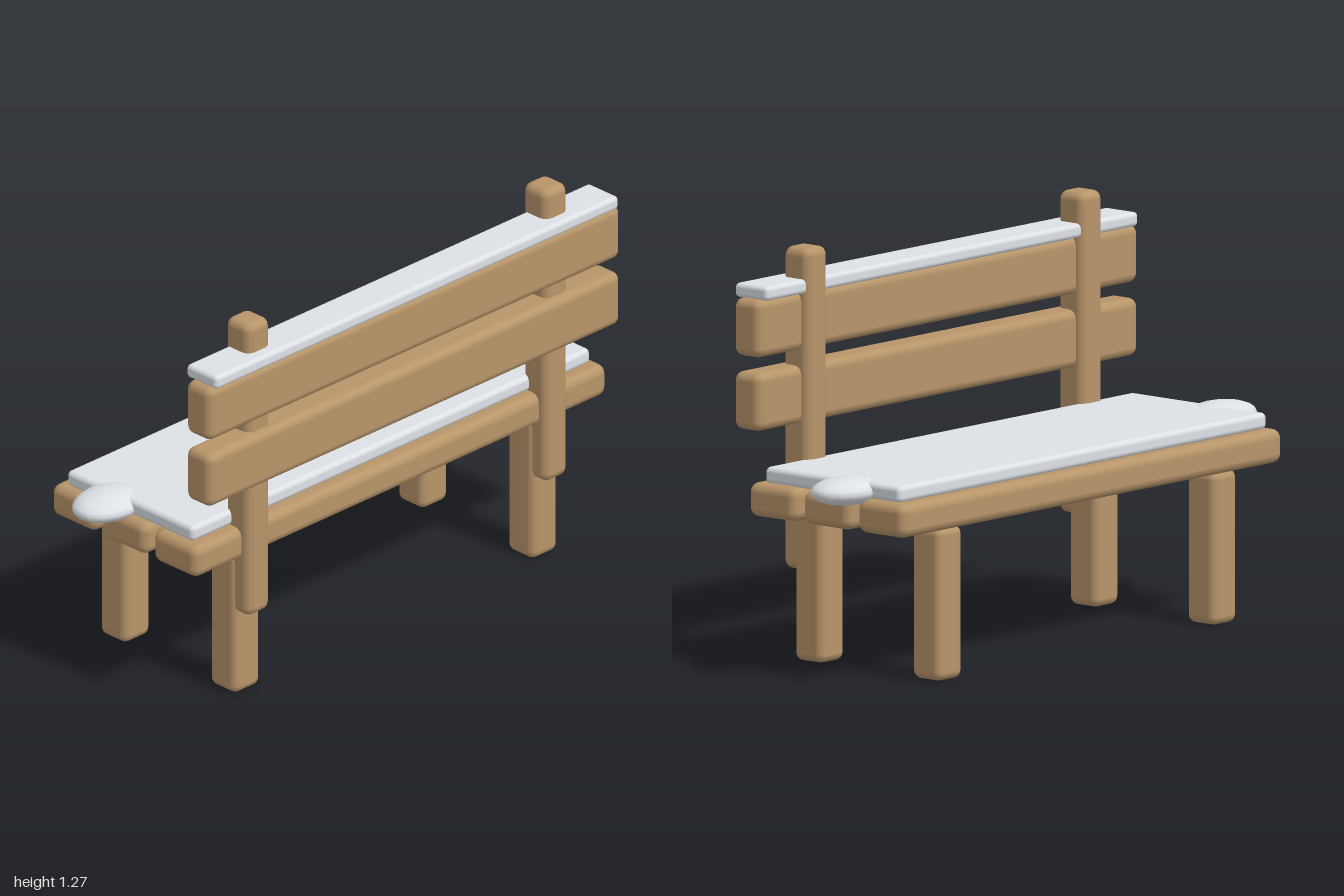
import * as THREE from 'three';
import { RoundedBoxGeometry } from 'three/addons/geometries/RoundedBoxGeometry.js';

const wood = new THREE.MeshStandardMaterial({ color: 0xb8956a });
const snow = new THREE.MeshStandardMaterial({ color: 0xdde1e6 });

// Box with softened edges, given by its [min, max] range on each axis
function block(name, [x0, x1], [y0, y1], [z0, z1], radius, material) {
  const geometry = new RoundedBoxGeometry(x1 - x0, y1 - y0, z1 - z0, 2, radius);
  const mesh = new THREE.Mesh(geometry, material);
  mesh.position.set((x0 + x1) / 2, (y0 + y1) / 2, (z0 + z1) / 2);
  mesh.name = name;
  return mesh;
}

export function createModel() {
  const bench = new THREE.Group();
  bench.name = 'snowyBench';
  const slatX = [-0.885, 0.885];

  // Three seat slats
  for (const z of [0.184, -0.035, -0.254]) {
    bench.add(block('seatSlat', slatX, [0.468, 0.574], [z - 0.096, z + 0.096], 0.03, wood));
  }

  // Two backrest slats
  for (const y of [0.821, 1.048]) {
    bench.add(block('backSlat', slatX, [y - 0.09, y + 0.09], [0.231, 0.339], 0.028, wood));
  }

  for (const [side, s] of [['left', 1], ['right', -1]]) {
    const x = s * 0.638;

    // Legs under the outer seat slats
    for (const [end, z] of [['Back', 0.201], ['Front', -0.273]]) {
      bench.add(block(`${side}${end}Leg`, [x - 0.057, x + 0.057], [0, 0.474],
        [z - 0.058, z + 0.058], 0.026, wood));
    }

    // Upright carrying the backrest
    bench.add(block(`${side}BackPost`, [x - 0.05, x + 0.05], [0.278, 1.275],
      [0.204, 0.309], 0.028, wood));

    // Flattened snow mound at the end of the seat
    const mound = new THREE.Mesh(new THREE.SphereGeometry(1, 16, 10), snow);
    mound.name = `${side}SnowMound`;
    mound.scale.set(0.13, 0.043, 0.095);
    mound.position.set(s * 0.87, 0.592, -0.109);
    bench.add(mound);
  }

  // Snow lying on the seat and along the top of the backrest
  bench.add(block('seatSnow', [-0.855, 0.855], [0.571, 0.623], [-0.31, 0.236], 0.017, snow));
  bench.add(block('backrestSnow', [-0.865, 0.865], [1.135, 1.18], [0.216, 0.349], 0.015, snow));

  return bench;
}
